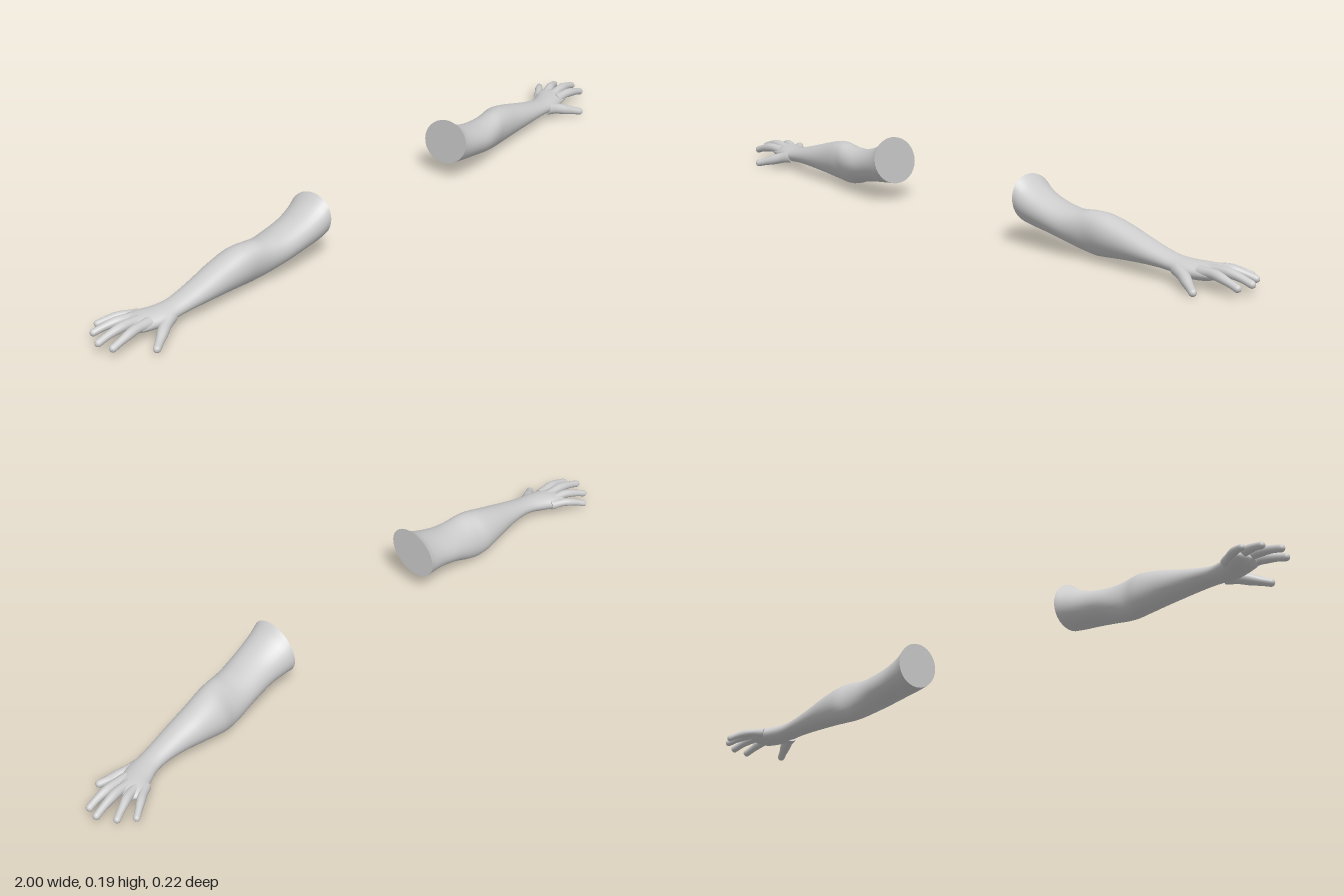
import * as THREE from 'three';

const SIDES = 32;
const skin = new THREE.MeshStandardMaterial({ color: 0xcccccc });

// Skins a list of rings (arrays of Vector3) with smooth normals and flat end caps
function skinRings(rings) {
  const n = rings[0].length;
  const pos = [], index = [];
  rings.forEach(r => r.forEach(p => pos.push(p.x, p.y, p.z)));
  for (let i = 0; i < rings.length - 1; i++) {
    for (let j = 0; j < n; j++) {
      const a = i * n + j, b = i * n + (j + 1) % n;
      index.push(a, b, a + n, b, b + n, a + n);
    }
  }
  [rings[0], rings[rings.length - 1]].forEach((r, end) => {
    const base = pos.length / 3;
    const c = r.reduce((s, p) => s.add(p), new THREE.Vector3()).divideScalar(n);
    r.forEach(p => pos.push(p.x, p.y, p.z));
    pos.push(c.x, c.y, c.z);
    for (let j = 0; j < n; j++) {
      const a = base + j, b = base + (j + 1) % n;
      if (end) index.push(base + n, a, b);
      else index.push(base + n, b, a);
    }
  });
  const g = new THREE.BufferGeometry();
  g.setAttribute('position', new THREE.Float32BufferAttribute(pos, 3));
  g.setIndex(index);
  g.computeVertexNormals();
  return g;
}

// Smooth interpolation of one column of the section table
function sample(table, col, x) {
  let i = 0;
  while (i < table.length - 2 && x > table[i + 1][0]) i++;
  const at = k => table[Math.min(Math.max(k, 0), table.length - 1)];
  const p = at(i), q = at(i + 1), h = q[0] - p[0], t = (x - p[0]) / h;
  const slope = k => {
    const a = at(k - 1), b = at(k + 1);
    return (b[col] - a[col]) / (b[0] - a[0]) * h;
  };
  const t2 = t * t, t3 = t2 * t;
  return (2 * t3 - 3 * t2 + 1) * p[col] + (t3 - 2 * t2 + t) * slope(i)
    + (3 * t2 - 2 * t3) * q[col] + (t3 - t2) * slope(i + 1);
}

// Arm sections from the cut to the knuckles: x, top, bottom, back, front, lean
const ARM = [
  [0.285, 0.195, 0.056, -0.040, 0.106, 0.20],
  [0.310, 0.174, 0.054, -0.035, 0.104, 0.20],
  [0.360, 0.151, 0.048, -0.030, 0.098, 0.20],
  [0.420, 0.135, 0.036, -0.033, 0.090, 0.20],
  [0.470, 0.133, 0.020, -0.034, 0.078, 0.25],
  [0.510, 0.138, 0.011, -0.036, 0.069, 0.25],
  [0.550, 0.135, 0.014, -0.043, 0.066, 0.20],
  [0.610, 0.119, 0.022, -0.039, 0.060, 0.12],
  [0.680, 0.098, 0.029, -0.029, 0.053, 0.05],
  [0.740, 0.081, 0.031, -0.024, 0.045, 0],
  [0.780, 0.072, 0.028, -0.027, 0.040, 0],
  [0.820, 0.068, 0.021, -0.043, 0.038, 0],
  [0.855, 0.066, 0.020, -0.061, 0.029, 0],
  [0.880, 0.062, 0.025, -0.064, 0.024, 0],
  [0.897, 0.055, 0.034, -0.052, 0.016, 0],
  [0.903, 0.047, 0.043, -0.020, -0.010, 0]
];

function armGeometry() {
  const rings = [], steps = 76;
  for (let i = 0; i <= steps; i++) {
    const x = THREE.MathUtils.lerp(0.285, 0.903, i / steps);
    const [top, bottom, back, front, lean] = [1, 2, 3, 4, 5].map(c => sample(ARM, c, x));
    const cy = (top + bottom) / 2, cz = (back + front) / 2;
    rings.push(Array.from({ length: SIDES }, (_, j) => {
      const a = j / SIDES * Math.PI * 2;
      const dy = Math.cos(a) * (top - bottom) / 2;
      return new THREE.Vector3(x, cy + dy, cz + Math.sin(a) * (front - back) / 2 + lean * dy);
    }));
  }
  return skinRings(rings);
}

// Tapered digit with slight joint swelling and a rounded tip
function digitGeometry(points, r0, r1) {
  const curve = new THREE.CatmullRomCurve3(points.map(p => new THREE.Vector3(...p)));
  const length = curve.getLength(), rings = [], steps = 24, n = 14;
  for (let i = 0; i <= steps; i++) {
    const t = Math.sin(i / steps * Math.PI / 2);
    const c = curve.getPointAt(t), dir = curve.getTangentAt(t);
    const side = new THREE.Vector3().crossVectors(dir, new THREE.Vector3(0, 1, 0)).normalize();
    const up = new THREE.Vector3().crossVectors(side, dir);
    let r = THREE.MathUtils.lerp(r0, r1, t) * (1 + 0.05 * Math.cos(t * Math.PI * 4));
    const left = (1 - t) * length;
    if (left < r1) r *= Math.sqrt(Math.max(1 - (1 - left / r1) ** 2, 0.002));
    rings.push(Array.from({ length: n }, (_, j) => {
      const a = j / n * Math.PI * 2;
      return c.clone().addScaledVector(up, Math.cos(a) * r).addScaledVector(side, Math.sin(a) * r);
    }));
  }
  return skinRings(rings);
}

const DIGITS = {
  thumb: [[[0.795, 0.044, 0.022], [0.832, 0.034, 0.040], [0.865, 0.023, 0.059], [0.900, 0.012, 0.079]], 0.019, 0.0095],
  indexFinger: [[[0.855, 0.048, 0.010], [0.905, 0.051, 0.012], [0.945, 0.043, 0.013], [0.988, 0.029, 0.011]], 0.015, 0.0095],
  middleFinger: [[[0.855, 0.049, -0.012], [0.910, 0.055, -0.017], [0.955, 0.048, -0.023], [1.000, 0.034, -0.029]], 0.015, 0.0095],
  ringFinger: [[[0.850, 0.047, -0.032], [0.900, 0.053, -0.047], [0.935, 0.046, -0.062], [0.973, 0.033, -0.078]], 0.0145, 0.009],
  littleFinger: [[[0.840, 0.043, -0.046], [0.876, 0.046, -0.070], [0.905, 0.040, -0.090], [0.933, 0.029, -0.108]], 0.0135, 0.0085]
};

// Mirrors a geometry across x and keeps its faces outward
function mirrored(geometry) {
  const g = geometry.clone();
  g.scale(-1, 1, 1);
  const ix = g.index.array;
  for (let i = 0; i < ix.length; i += 3) [ix[i], ix[i + 1]] = [ix[i + 1], ix[i]];
  g.computeVertexNormals();
  return g;
}

export function createModel() {
  const model = new THREE.Group();
  model.name = 'armPair';
  const parts = { forearmAndPalm: armGeometry() };
  for (const [name, args] of Object.entries(DIGITS)) parts[name] = digitGeometry(...args);

  for (const side of ['left', 'right']) {
    const arm = new THREE.Group();
    arm.name = side + 'Arm';
    for (const [name, geometry] of Object.entries(parts)) {
      const mesh = new THREE.Mesh(side === 'left' ? geometry : mirrored(geometry), skin);
      mesh.name = name;
      arm.add(mesh);
    }
    model.add(arm);
  }
  return model;
}
